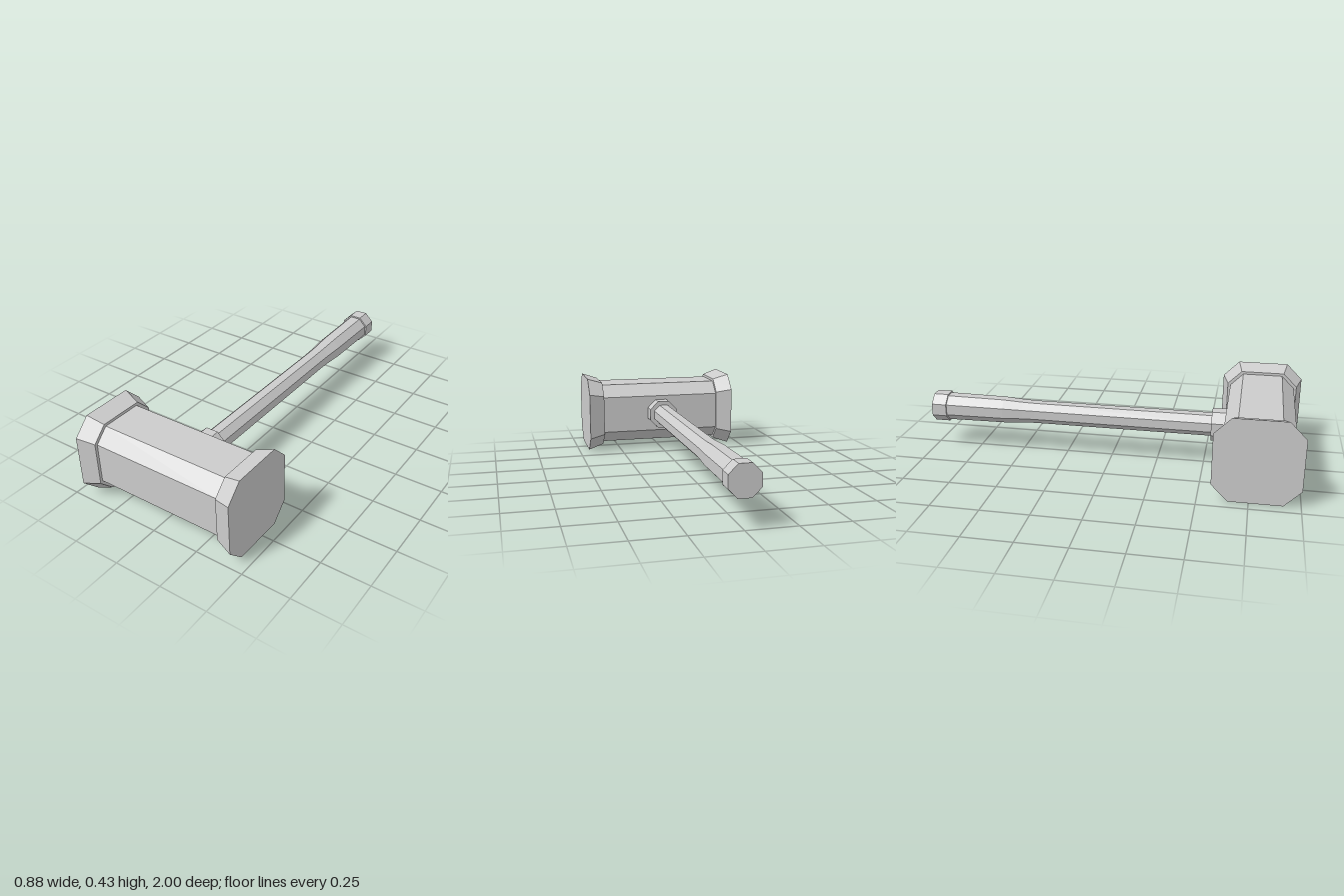
import * as THREE from 'three';

// Chamfered-square cross-section: h = half width, f = half length of the flat sides
const octagon = (h, f) => [[h, -f], [h, f], [f, h], [-f, h], [-h, f], [-h, -f], [-f, -h], [f, -h]];

// Lofts octagons along +z; each ring is [z, half width, half flat], z increasing
function loft(rings) {
  const pos = [];
  const loops = rings.map(([z, h, f = h * 0.414]) => octagon(h, f).map(([x, y]) => [x, y, z]));
  const tri = (a, b, c) => pos.push(...a, ...b, ...c);
  for (let i = 0; i < loops.length - 1; i++) {
    const a = loops[i], b = loops[i + 1];
    for (let j = 0; j < 8; j++) {
      const k = (j + 1) % 8;
      tri(a[j], a[k], b[k]);
      tri(a[j], b[k], b[j]);
    }
  }
  const first = loops[0], last = loops[loops.length - 1];
  for (let j = 1; j < 7; j++) {
    tri(first[0], first[j + 1], first[j]);
    tri(last[0], last[j], last[j + 1]);
  }
  const g = new THREE.BufferGeometry();
  g.setAttribute('position', new THREE.Float32BufferAttribute(pos, 3));
  g.computeVertexNormals();
  return g;
}

export function createModel() {
  const model = new THREE.Group();
  model.name = 'warHammer';
  const steel = new THREE.MeshStandardMaterial({ color: 0xcccccc });
  steel.name = 'greySteel';

  const add = (name, rings, parent) => {
    const mesh = new THREE.Mesh(loft(rings), steel);
    mesh.name = name;
    parent.add(mesh);
    return mesh;
  };

  // Head: long block lying across x with a flared striking face at each end
  const head = new THREE.Group();
  head.name = 'head';
  head.position.set(0, 0.217, 0.783);
  model.add(head);
  add('headBlock', [[-0.355, 0.174, 0.106], [0.355, 0.174, 0.106]], head).rotation.y = Math.PI / 2;
  for (const side of [1, -1]) {
    const face = add(side > 0 ? 'leftStrikingFace' : 'rightStrikingFace',
      [[0.35, 0.188, 0.115], [0.44, 0.217, 0.133]], head);
    face.rotation.y = side * Math.PI / 2;
  }

  // Handle: slim shaft, thicker grip, end cap and collar at the head
  const handle = new THREE.Group();
  handle.name = 'handle';
  handle.position.y = 0.219;
  model.add(handle);
  add('shaft', [[-0.49, 0.059], [-0.42, 0.057], [0.56, 0.057]], handle);
  add('grip', [[-0.93, 0.069], [-0.6, 0.066], [-0.49, 0.059]], handle);
  add('pommel', [[-1, 0.077], [-0.92, 0.077]], handle);
  add('collar', [[0.535, 0.08], [0.615, 0.08]], handle);

  return model;
}
